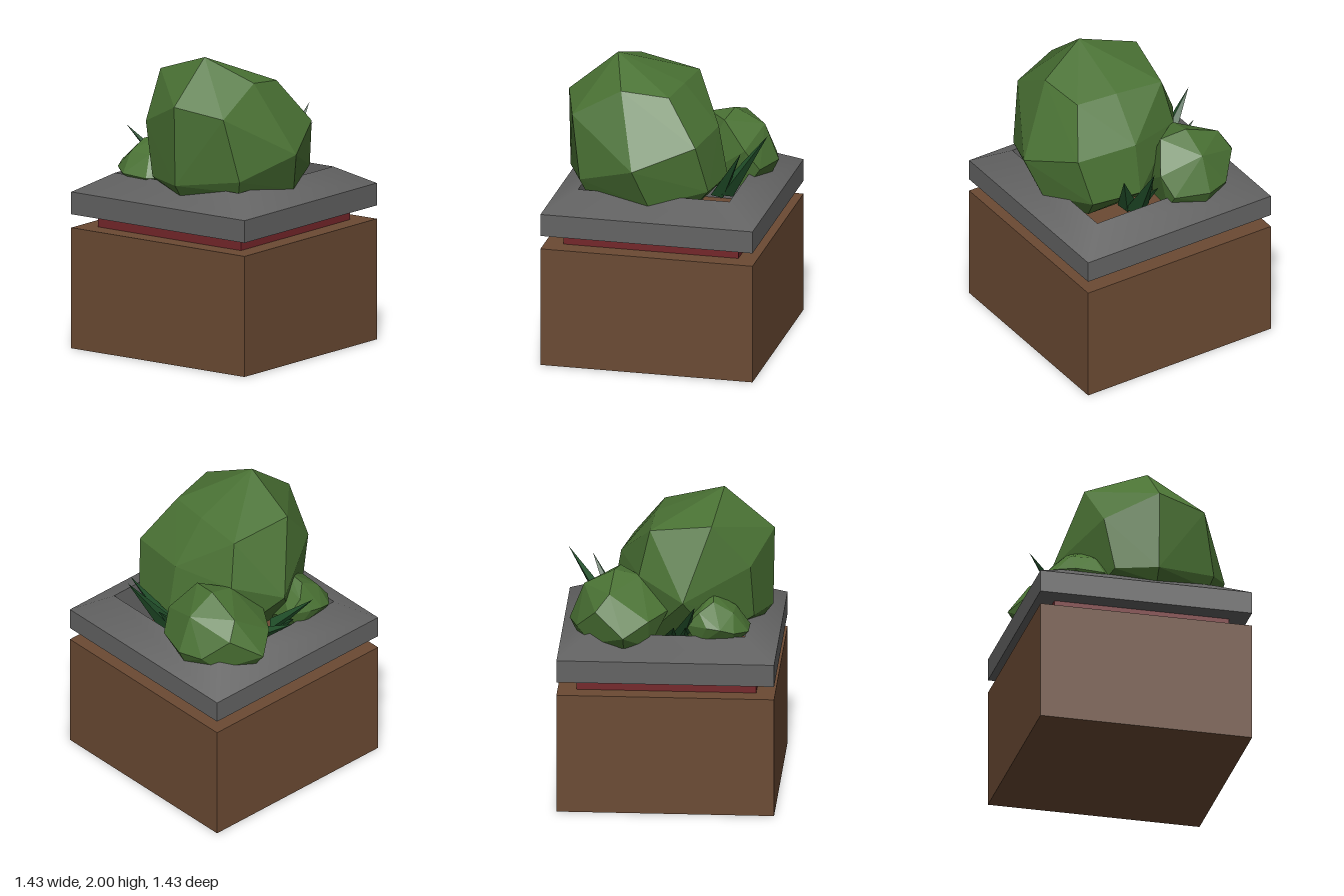
import * as THREE from 'three';
import { ConvexGeometry } from 'three/addons/geometries/ConvexGeometry.js';

const mat = (name, color) => {
  const m = new THREE.MeshStandardMaterial({ color });
  m.name = name;
  return m;
};

// Square ring swept from a [half width, y] profile
function squareRing(profile, smooth) {
  const pts = profile.map(([h, y]) => new THREE.Vector2(h * Math.SQRT2, y));
  const geo = new THREE.LatheGeometry(pts, 4, Math.PI / 4);
  if (smooth) return geo;
  const flat = geo.toNonIndexed();
  flat.computeVertexNormals();
  return flat;
}

// Faceted boulder-like shrub wrapped around a few corner points
const shrub = (pts) => new ConvexGeometry(pts.map((p) => new THREE.Vector3(...p)));

// Pointed leaf: a diamond-section spike from root to tip
function leafGeometry(root, tip, width, thickness) {
  const a = new THREE.Vector3(...root), b = new THREE.Vector3(...tip);
  const dir = b.clone().sub(a);
  const side = new THREE.Vector3().crossVectors(dir, new THREE.Vector3(0, 1, 0)).normalize();
  const up = new THREE.Vector3().crossVectors(side, dir).normalize();
  const at = (s, u) => a.clone().addScaledVector(side, s).addScaledVector(up, u);
  return new ConvexGeometry([b, at(width / 2, 0), at(-width / 2, 0), at(0, thickness / 2), at(0, -thickness / 2)]);
}

export function createModel() {
  const brown = mat('brown', 0x6b4a33);
  const red = mat('dark red', 0x74262a);
  const grey = mat('stone grey', 0x636363);
  const green = mat('leaf green', 0x4a7234);
  const darkGreen = mat('dark green', 0x22512b);

  const model = new THREE.Group();
  const add = (name, geo, material, parent = model) => {
    const mesh = new THREE.Mesh(geo, material);
    mesh.name = name;
    parent.add(mesh);
    return mesh;
  };

  // Planter: body, recessed band, and stone rim around an open square well
  add('planterBody', new THREE.BoxGeometry(1.43, 0.81, 1.43), brown).position.y = 0.405;
  add('recessedBand', squareRing([[0.59, 0.81], [0.59, 0.9]]), red);
  add('rimUnderside', squareRing([[0.51, 0.9], [0.715, 0.9]]), grey);
  add('rimSide', squareRing([[0.715, 0.9], [0.715, 1.05]]), grey);
  add('rimSlope', squareRing([[0.715, 1.05], [0.51, 1.17]], true), grey);
  add('wellWall', squareRing([[0.51, 1.17], [0.51, 0.81]]), grey);

  // Shrubs
  add('largeShrub', shrub([
    [0.1, 2, 0.34], [0.43, 1.85, 0.24], [-0.31, 1.86, 0.28],
    [0.1, 1.72, 0.67], [0.43, 1.66, 0.57], [-0.24, 1.56, 0.53],
    [0.68, 1.38, 0.11], [-0.48, 1.38, 0.1],
    [0.1, 1.82, -0.11], [0.38, 1.81, -0.07], [-0.24, 1.8, -0.13],
    [0.1, 1.54, -0.34], [0.51, 1.52, -0.28], [-0.29, 1.5, -0.2],
    [0.1, 1.2, -0.4], [0.44, 1.2, -0.35],
    [0.1, 1.19, 0.66], [0.51, 1.24, 0.5], [-0.17, 1.2, 0.55],
    [0.1, 1.11, 0.6], [0.48, 1.16, 0.47], [0.59, 1.12, 0.02],
    [0.38, 1.02, -0.2], [-0.2, 1.02, -0.2], [-0.3, 1.08, 0.3], [0.1, 1, 0.1],
  ]), green);

  add('backShrub', shrub([
    [-0.28, 1.54, -0.36], [-0.52, 1.45, -0.38], [-0.1, 1.51, -0.33], [-0.28, 1.5, -0.19],
    [-0.28, 1.44, -0.56], [-0.57, 1.34, -0.47], [0, 1.34, -0.49],
    [-0.69, 1.2, -0.28], [-0.57, 1.28, -0.12], [-0.38, 1.3, 0],
    [-0.28, 1.2, -0.655], [-0.44, 1.2, -0.6], [-0.05, 1.2, -0.58],
    [-0.62, 1.11, -0.28], [-0.28, 1.11, -0.61], [-0.5, 1.1, -0.5], [-0.05, 1.08, -0.5],
    [-0.1, 1.05, -0.1], [-0.5, 1.08, -0.12],
  ]), green);

  add('smallShrub', shrub([
    [-0.32, 1.41, 0.29], [-0.43, 1.38, 0.3], [-0.26, 1.38, 0.24], [-0.51, 1.33, 0.21],
    [-0.44, 1.31, 0.43], [-0.28, 1.31, 0.44], [-0.2, 1.28, 0.4],
    [-0.57, 1.23, 0.35], [-0.56, 1.24, 0.26], [-0.54, 1.2, 0.44], [-0.5, 1.24, 0.12],
    [-0.43, 1.18, 0.53], [-0.24, 1.17, 0.53], [-0.16, 1.17, 0.45],
    [-0.5, 1.1, 0.2], [-0.48, 1.1, 0.42], [-0.25, 1.08, 0.48], [-0.2, 1.08, 0.15],
  ]), green);

  // Two tufts of pointed leaves: root, tip, width, thickness
  const tufts = {
    backTuft: [
      [[0.13, 1.1, -0.4], [0.18, 1.53, -0.69], 0.17, 0.11],
      [[0.17, 1.1, -0.36], [0.32, 1.44, -0.54], 0.14, 0.09],
      [[0.08, 1.08, -0.36], [0.05, 1.3, -0.54], 0.13, 0.08],
    ],
    sideTuft: [
      [[-0.4, 1.14, 0.08], [-0.66, 1.42, 0.19], 0.13, 0.09],
      [[-0.38, 1.1, 0.0], [-0.61, 1.26, 0.05], 0.11, 0.08],
      [[-0.38, 1.08, 0.1], [-0.55, 1.24, 0.12], 0.1, 0.08],
    ],
  };
  for (const [name, leaves] of Object.entries(tufts)) {
    const tuft = new THREE.Group();
    tuft.name = name;
    for (const leaf of leaves) add('pointedLeaf', leafGeometry(...leaf), darkGreen, tuft);
    model.add(tuft);
  }
  return model;
}
